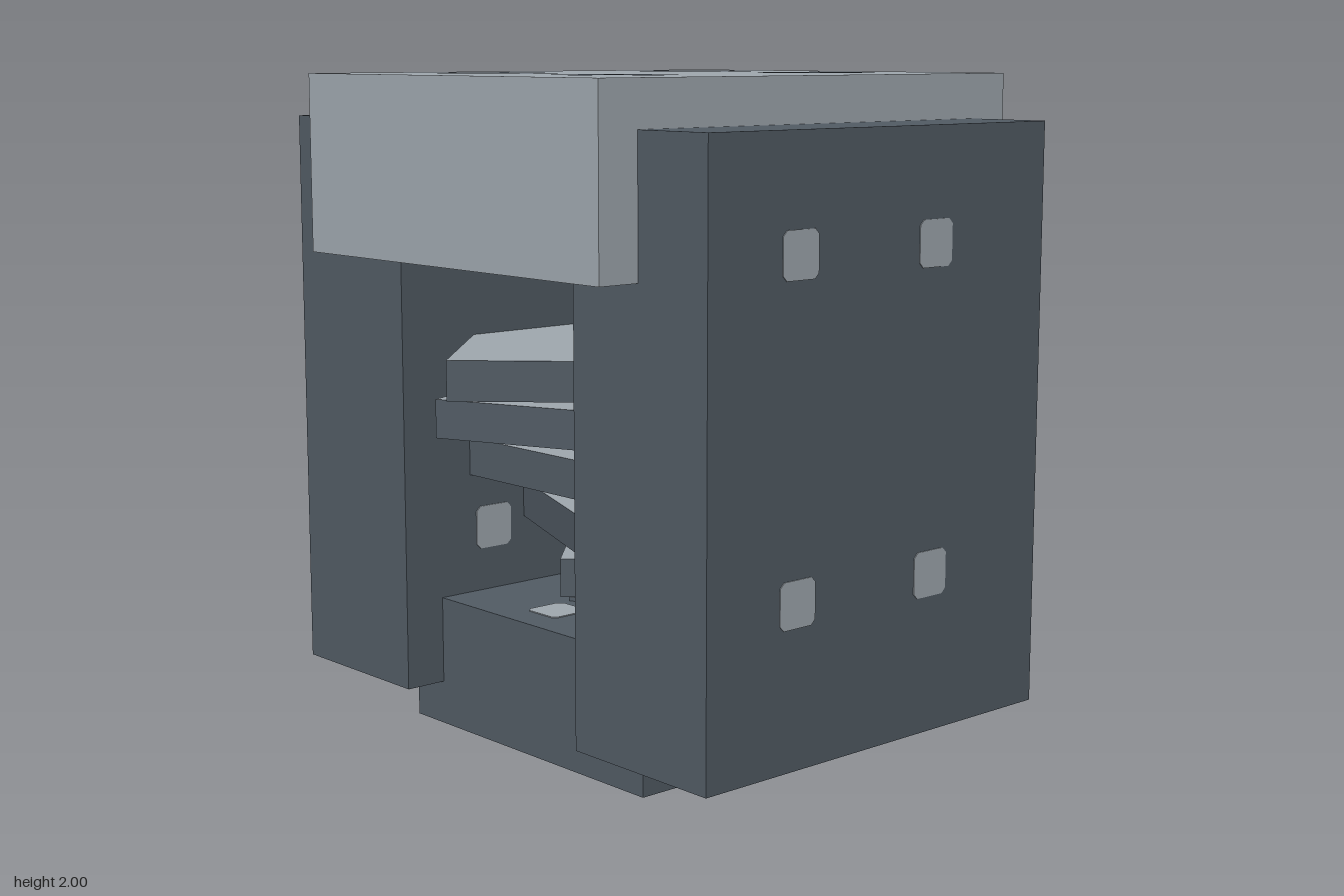
import * as THREE from 'three';

const dark = new THREE.MeshStandardMaterial({ color: 0x525c65 });
dark.name = 'slate grey';
const light = new THREE.MeshStandardMaterial({ color: 0xa1a9b0 });
light.name = 'pale grey';

function box(name, material, size, pos) {
  const mesh = new THREE.Mesh(new THREE.BoxGeometry(...size), material);
  mesh.name = name;
  mesh.position.set(...pos);
  return mesh;
}

// Polygon with slightly cut corners
function cutShape(points, cut = 0.015) {
  const v = points.map(([x, y]) => new THREE.Vector2(x, y));
  const out = [];
  v.forEach((p, i) => {
    for (const q of [v[(i + v.length - 1) % v.length], v[(i + 1) % v.length]]) {
      out.push(p.clone().add(q.clone().sub(p).setLength(cut)));
    }
  });
  return new THREE.Shape(out);
}

const squareMark = cutShape([[-0.067, -0.067], [0.067, -0.067], [0.067, 0.067], [-0.067, 0.067]]);
const cornerMark = cutShape([
  [-0.133, -0.133], [0, -0.133], [0, 0], [0.133, 0], [0.133, 0.133], [-0.133, 0.133],
]);

// Thin painted plates laid out on one face; rotation turns +z to the face normal
function marks(name, shape, material, centres, pos, rotation) {
  const group = new THREE.Group();
  group.name = name;
  const geometry = new THREE.ExtrudeGeometry(shape, { depth: 0.003, bevelEnabled: false });
  for (const [x, y] of centres) {
    const mesh = new THREE.Mesh(geometry, material);
    mesh.name = name + 'Plate';
    mesh.position.set(x, y, 0);
    group.add(mesh);
  }
  group.position.set(...pos);
  group.rotation.set(...rotation);
  return group;
}

export function createModel() {
  const model = new THREE.Group();
  model.name = 'spiralPillar';
  const H = Math.PI / 2;

  // Base, core and cap
  model.add(box('base', dark, [1.067, 0.4, 1.067], [0, 0.2, 0]));
  model.add(box('core', dark, [0.267, 1.1, 0.267], [0, 0.93, 0]));
  model.add(box('cap', light, [1.333, 0.533, 1.6], [0, 1.7335, 0]));

  // Corner-shaped marks above and below the cap
  const quad = [[-0.267, 0.4], [0.267, 0.4], [-0.267, -0.4], [0.267, -0.4]];
  model.add(marks('capTopMarks', cornerMark, dark, quad, [0, 1.998, 0], [-H, 0, 0]));
  model.add(marks('capUndersideMarks', cornerMark, dark, quad, [0, 1.467, 0], [H, 0, 0]));

  // Square marks on the base
  const pair = [[-0.04, -0.37], [0.235, -0.37]];
  model.add(marks('baseTopMarks', squareMark, light, pair, [0, 0.4, 0], [-H, 0, 0]));
  model.add(marks('baseUndersideMarks', squareMark, light, pair, [0, 0.001, 0], [H, 0, 0]));

  // Side panels with marks on both faces
  const four = [[-0.333, 1.54], [0.2, 1.54], [-0.333, 0.6], [0.2, 0.6]];
  for (const [side, s] of [['left', 1], ['right', -1]]) {
    model.add(box(side + 'Panel', dark, [0.533, 1.733, 1.333], [s * 0.667, 1.0, 0]));
    model.add(marks(side + 'PanelOuterMarks', squareMark, light, four, [s * 0.933, 0, 0], [0, s * H, 0]));
    model.add(marks(side + 'PanelInnerMarks', squareMark, light, four, [s * 0.4, 0, 0], [0, -s * H, 0]));
  }

  // Spiral of square slabs, growing and turning upward
  const slabMaterials = [dark, dark, light, light, dark, dark];
  for (let i = 0; i < 6; i++) {
    const w = 2 * (0.204 + 0.0724 * i);
    const slab = box('spiralSlab' + (i + 1), slabMaterials, [w, 0.117, w], [0, 0.353 + 0.159 * i, 0]);
    slab.rotation.y = (i - 3) * Math.PI / 8;
    model.add(slab);
  }
  return model;
}
